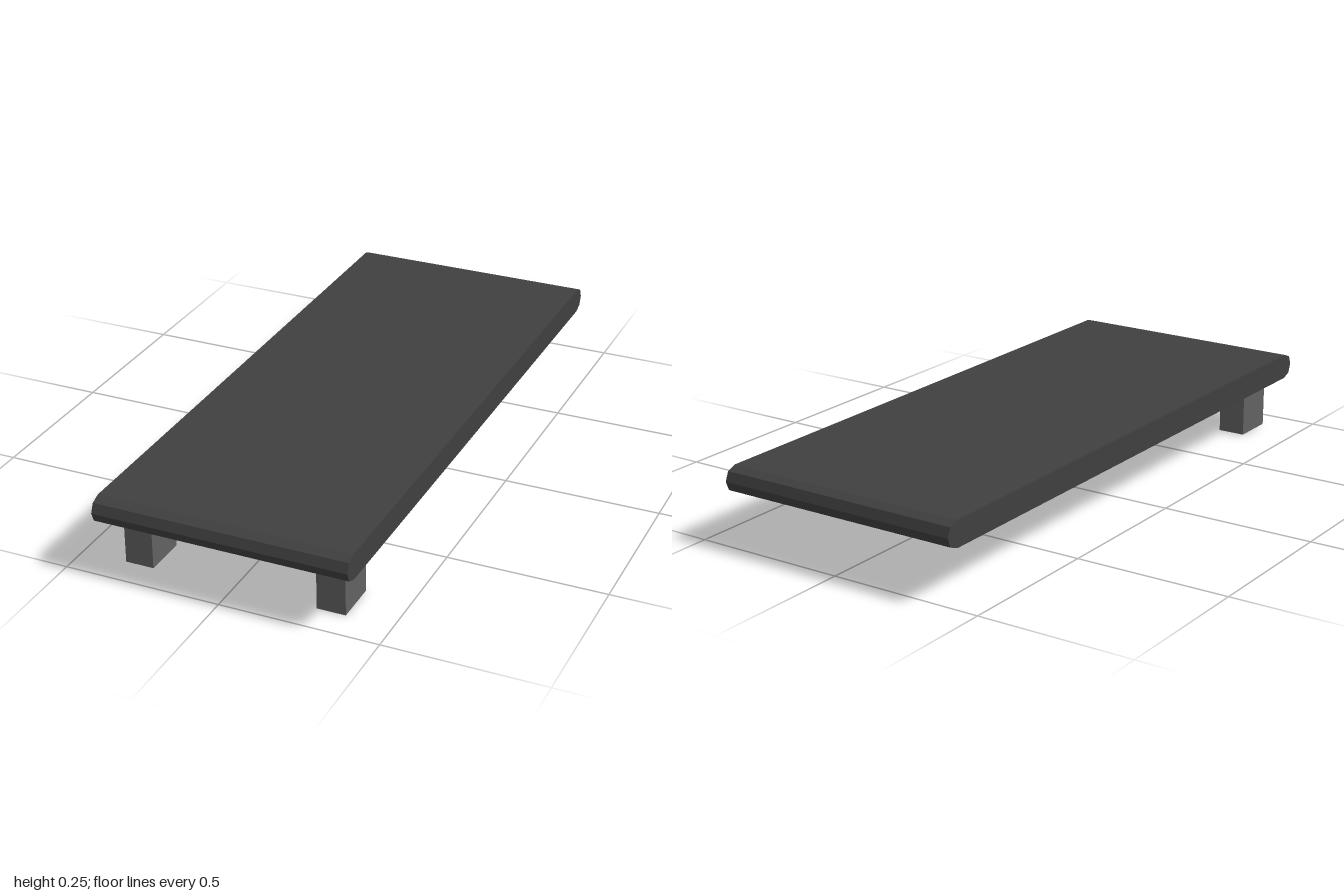
import * as THREE from 'three';

const boardMaterial = new THREE.MeshStandardMaterial({ color: 0x404040, flatShading: true });
boardMaterial.name = 'charcoal';
const legMaterial = new THREE.MeshStandardMaterial({ color: 0x626262, side: THREE.DoubleSide });
legMaterial.name = 'grey';

// Side profile of the board as (z, y), with faceted rounded ends, extruded across x
function createBoard() {
  const end = [[0.957, 0.162], [0.988, 0.174], [1, 0.2035], [0.988, 0.233], [0.957, 0.245]];
  const outline = [...end, ...end.map(([z, y]) => [-z, y]).reverse()];
  const shape = new THREE.Shape(outline.map(([z, y]) => new THREE.Vector2(z, y)));
  const width = 0.806;
  const geometry = new THREE.ExtrudeGeometry(shape, { depth: width, bevelEnabled: false });
  geometry.translate(0, 0, -width / 2);
  geometry.rotateY(-Math.PI / 2);
  const board = new THREE.Mesh(geometry, boardMaterial);
  board.name = 'board';
  return board;
}

// Hollow square leg: four walls, open at both ends
function createLeg(side) {
  const geometry = new THREE.BoxGeometry(0.091, 0.162, 0.143);
  const index = Array.from(geometry.index.array);
  index.splice(12, 12); // drop the top and bottom faces
  geometry.setIndex(index);
  geometry.clearGroups();
  const leg = new THREE.Mesh(geometry, legMaterial);
  leg.position.set(side * 0.309, 0.081, 0.833);
  leg.name = side > 0 ? 'leftLeg' : 'rightLeg';
  return leg;
}

export function createModel() {
  const model = new THREE.Group();
  model.name = 'ramp';
  model.add(createBoard());
  for (const side of [-1, 1]) model.add(createLeg(side));
  return model;
}
